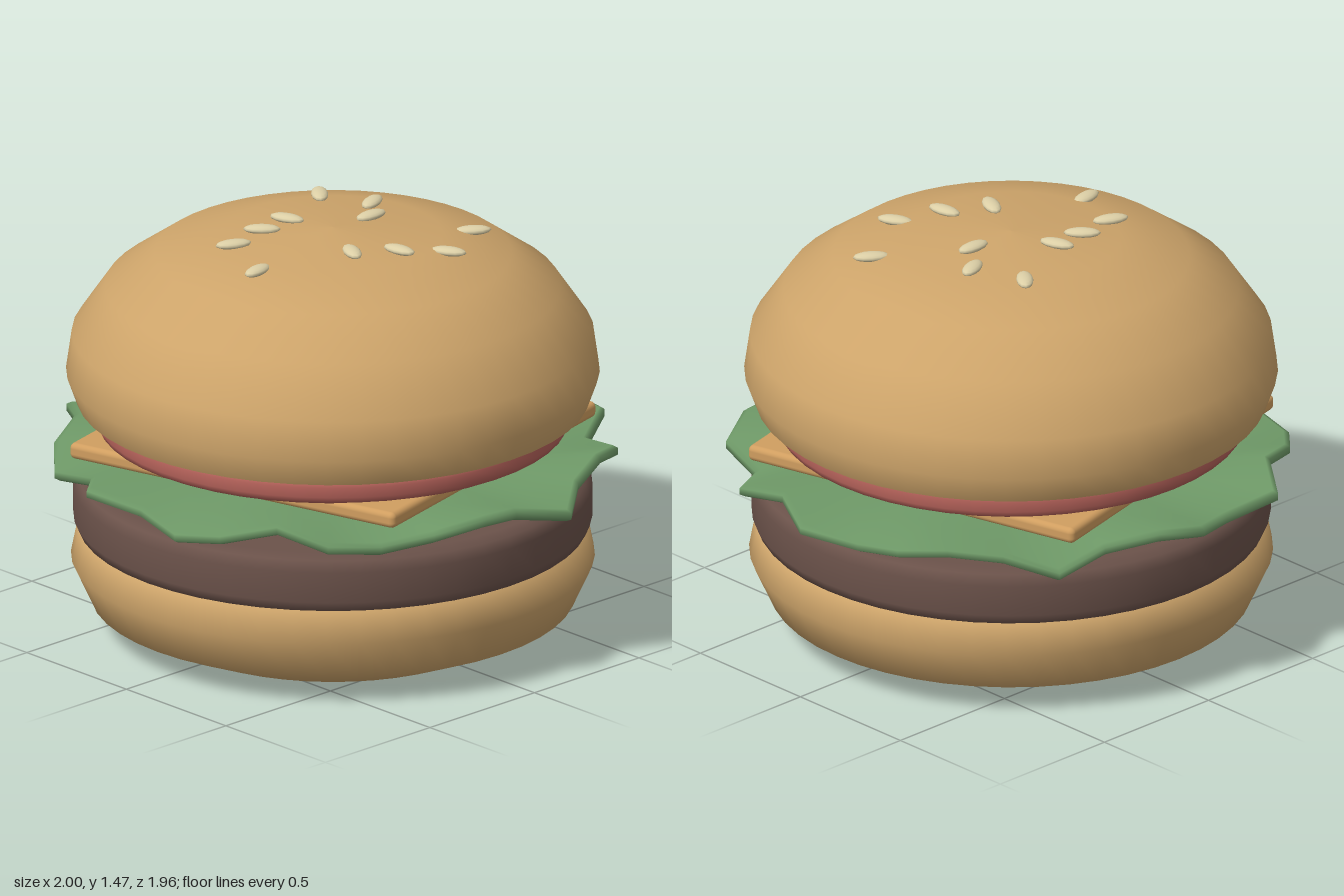
import * as THREE from 'three';
import { RoundedBoxGeometry } from 'three/addons/geometries/RoundedBoxGeometry.js';

const material = (name, color) => {
  const m = new THREE.MeshStandardMaterial({ color });
  m.name = name;
  return m;
};

// Solid of revolution from [radius, height] pairs, bottom to top
function lathe(points, segments = 48) {
  return new THREE.LatheGeometry(points.map(([r, y]) => new THREE.Vector2(r, y)), segments);
}

const BUN_TOP = [
  [0, 0.83], [0.88, 0.83], [0.89, 0.832], [0.925, 0.93], [0.905, 1.07],
  [0.79, 1.24], [0.62, 1.36], [0.38, 1.43], [0, 1.455],
];

// Height of the upper bun's crust at a given radius
function crustHeight(r) {
  for (let i = BUN_TOP.length - 1; i > 0; i--) {
    const [r0, y0] = BUN_TOP[i], [r1, y1] = BUN_TOP[i - 1];
    if (r <= r1) return y0 + (y1 - y0) * (r - r0) / (r1 - r0);
  }
  return 0.83;
}

// Ragged leaf: rings swept from top centre, over the wavy rim, to bottom centre
function lettuceGeometry() {
  const radii = [
    1, 0.93, 1, 0.89, 0.98, 0.94, 0.92, 1, 0.91, 0.98, 0.955, 0.93, 1.01, 0.93, 0.99, 0.967,
    0.93, 1.02, 0.906, 0.987, 0.976, 0.926, 1.02, 0.92, 0.98, 0.977, 0.92, 1.01, 0.93, 0.98, 0.96, 0.915,
  ];
  const n = radii.length;
  // [fraction of radius, height from mid-plane, strength of wave]
  const rings = [
    [0, 0.022, 0], [0.75, 0.022, 0.3], [0.98, 0.022, 1], [1, 0.012, 1],
    [1, -0.012, 1], [0.98, -0.022, 1], [0.75, -0.022, 0.3], [0, -0.022, 0],
  ];
  const positions = [], index = [];
  rings.forEach(([f, h, wave], j) => {
    for (let k = 0; k < n; k++) {
      const a = (k / n) * Math.PI * 2;
      const r = radii[k] * f;
      positions.push(r * Math.cos(a), 0.632 + h + 0.035 * wave * Math.sin(8 * a), r * Math.sin(a));
      if (j === rings.length - 1) continue;
      const i0 = j * n + k, i1 = j * n + (k + 1) % n;
      if (j > 0) index.push(i0, i1, i0 + n);
      if (j < rings.length - 2 || j === 0) index.push(i1, i1 + n, i0 + n);
    }
  });
  const g = new THREE.BufferGeometry();
  g.setAttribute('position', new THREE.Float32BufferAttribute(positions, 3));
  g.setIndex(index);
  g.computeVertexNormals();
  // The coincident centre points share straight up or down normals
  for (let k = 0; k < n; k++) {
    g.attributes.normal.setXYZ(k, 0, 1, 0);
    g.attributes.normal.setXYZ((rings.length - 1) * n + k, 0, -1, 0);
  }
  return g;
}

export function createModel() {
  const group = new THREE.Group();
  group.name = 'hamburger';
  const bread = material('bread', 0xcda46a);
  const meat = material('meat', 0x6b524a);
  const leaf = material('lettuce green', 0x6f9a68);
  const cheese = material('cheese orange', 0xd09e60);
  const tomato = material('tomato red', 0xb5625a);
  const sesame = material('sesame', 0xdccfa6);
  const CX = -0.012;

  const add = (name, geometry, mat, x = CX) => {
    const mesh = new THREE.Mesh(geometry, mat);
    mesh.name = name;
    mesh.position.x = x;
    group.add(mesh);
    return mesh;
  };

  // Lower bun and patty
  add('bottomBun', lathe([
    [0, 0], [0.61, 0], [0.84, 0.1], [0.908, 0.25], [0.885, 0.365], [0.8, 0.37], [0, 0.37],
  ]), bread);
  add('patty', lathe([
    [0, 0.355], [0.86, 0.355], [0.885, 0.365], [0.9, 0.4], [0.9, 0.51],
    [0.885, 0.55], [0.845, 0.565], [0, 0.565],
  ]), meat);

  // Fillings
  add('lettuce', lettuceGeometry(), leaf, 0);
  const slice = add('cheeseSlice', new RoundedBoxGeometry(1.33, 0.058, 1.33, 3, 0.02), cheese);
  slice.position.y = 0.705;
  slice.rotation.y = 0.25;
  add('tomatoSlice', lathe([
    [0, 0.728], [0.79, 0.728], [0.815, 0.74], [0.823, 0.76], [0.823, 0.795],
    [0.815, 0.812], [0.79, 0.822], [0, 0.822],
  ]), tomato);

  // Upper bun
  add('topBun', lathe(BUN_TOP), bread);

  // Sesame seeds: [x, z, heading in degrees]
  const seeds = [
    [-0.35, -0.145, -25], [-0.19, -0.17, -45], [-0.06, -0.18, -70], [0.21, -0.3, 50],
    [0.28, -0.11, 25], [0.17, 0, 0], [-0.44, 0.07, 12], [-0.12, 0.21, 63],
    [0.02, 0.3, -82], [0.17, 0.39, -62], [0.41, 0.26, -35],
  ];
  const seedGeometry = new THREE.SphereGeometry(1, 12, 8).scale(0.065, 0.016, 0.03);
  seeds.forEach(([x, z, heading]) => {
    const seed = add('sesameSeed', seedGeometry, sesame, x);
    seed.position.set(x, crustHeight(Math.hypot(x - CX, z)) + 0.009, z);
    seed.rotation.y = THREE.MathUtils.degToRad(heading);
  });

  return group;
}
